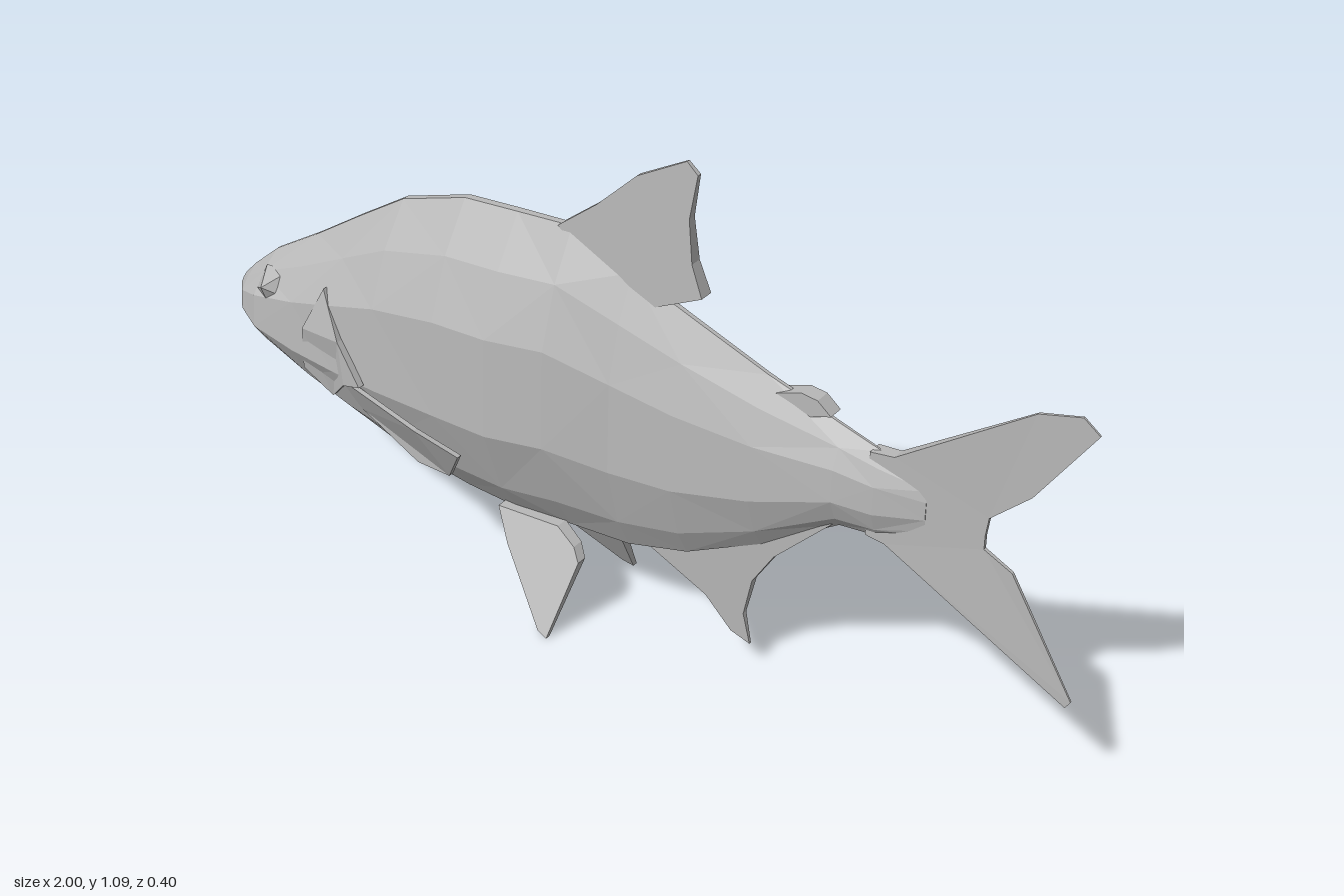
import * as THREE from 'three';

const skin = new THREE.MeshStandardMaterial({ color: 0xb8b8b8 });
skin.name = 'silver grey skin';

// Body stations: x, belly height, back height, half width
const STATIONS = [
  [-1, 0.45, 0.5, 0.02], [-0.965, 0.405, 0.535, 0.06], [-0.9, 0.365, 0.59, 0.095],
  [-0.78, 0.31, 0.662, 0.112], [-0.66, 0.26, 0.74, 0.122], [-0.54, 0.222, 0.815, 0.134],
  [-0.38, 0.197, 0.865, 0.14], [-0.25, 0.187, 0.873, 0.138], [-0.12, 0.197, 0.88, 0.12],
  [0.02, 0.2, 0.82, 0.092], [0.16, 0.235, 0.765, 0.082], [0.33, 0.32, 0.7, 0.068],
  [0.5, 0.43, 0.645, 0.05], [0.58, 0.435, 0.62, 0.036], [0.68, 0.47, 0.59, 0.012],
];
// Cross-section: share of height, share of half width
const PROFILE = [[0, 0.2], [0.12, 0.62], [0.34, 1], [0.66, 0.93], [0.85, 0.56], [1, 0.06]];

// Piecewise linear lookup in a table sorted by its first column
function lookup(table, key, col) {
  for (let i = 1; i < table.length; i++) {
    const a = table[i - 1], b = table[i];
    if (key <= b[0]) {
      return a[col] + (b[col] - a[col]) * Math.max(0, (key - a[0]) / (b[0] - a[0]));
    }
  }
  return table[table.length - 1][col];
}

// Half width of the body at a point of its side
function bodyZ(x, y) {
  const low = lookup(STATIONS, x, 1), high = lookup(STATIONS, x, 2);
  return lookup(STATIONS, x, 3) * lookup(PROFILE, (y - low) / (high - low), 1);
}

function flatMesh(geometry, name) {
  const g = geometry.index ? geometry.toNonIndexed() : geometry;
  g.computeVertexNormals();
  const mesh = new THREE.Mesh(g, skin);
  mesh.name = name;
  return mesh;
}

// Faceted body lofted through the stations, closed at both ends
function makeBody() {
  const ring = [
    ...PROFILE.map(([t, w]) => [t, w]),
    ...PROFILE.map(([t, w]) => [t, -w]).reverse(),
  ];
  const n = ring.length, pos = [], idx = [];
  for (const [x, low, high, half] of STATIONS) {
    for (const [t, w] of ring) pos.push(x, low + (high - low) * t, half * w);
  }
  for (let i = 0; i < STATIONS.length - 1; i++) {
    for (let j = 0; j < n; j++) {
      const a = i * n + j, b = i * n + (j + 1) % n, c = a + n, d = b + n;
      if ((i + j) % 2) idx.push(a, c, b, b, c, d);
      else idx.push(a, c, d, a, d, b);
    }
  }
  const last = (STATIONS.length - 1) * n;
  for (let j = 1; j < n - 1; j++) {
    idx.push(0, j, j + 1);
    idx.push(last, last + j + 1, last + j);
  }
  const g = new THREE.BufferGeometry();
  g.setAttribute('position', new THREE.Float32BufferAttribute(pos, 3));
  g.setIndex(idx);
  return flatMesh(g, 'body');
}

// Fin from a side outline; rules give its thickness and its sideways offset
function makeFin(name, outline, thickness, offset = () => 0) {
  const shape = new THREE.Shape(outline.map(([x, y]) => new THREE.Vector2(x, y)));
  const g = new THREE.ExtrudeGeometry(shape, { depth: 1, bevelEnabled: false });
  const p = g.attributes.position;
  for (let i = 0; i < p.count; i++) {
    const x = p.getX(i), y = p.getY(i);
    p.setZ(i, offset(x, y) + (p.getZ(i) - 0.5) * thickness(x, y));
  }
  return flatMesh(g, name);
}

export function createModel() {
  const fish = new THREE.Group();
  fish.name = 'fish';
  fish.add(makeBody());

  // Fins on the centre line
  fish.add(makeFin('upperTailFin', [
    [0.56, 0.53], [0.56, 0.62], [0.61, 0.625], [0.88, 0.81], [0.965, 0.832],
    [1, 0.805], [0.885, 0.635], [0.805, 0.56], [0.8, 0.52],
  ], (x) => 0.004 + 0.085 * Math.max(0, 0.8 - x) + 0.02 * (1 - x)));
  fish.add(makeFin('lowerTailFin', [
    [0.56, 0.53], [0.8, 0.52], [0.8, 0.49], [0.86, 0.46], [1, 0.225],
    [0.99, 0.208], [0.6, 0.428], [0.56, 0.435],
  ], (x) => 0.004 + 0.085 * Math.max(0, 0.8 - x) + 0.02 * (1 - x)));
  fish.add(makeFin('dorsalFin', [
    [-0.15, 0.875], [-0.06, 0.945], [0.03, 1.03], [0.14, 1.09], [0.165, 1.068],
    [0.15, 0.975], [0.16, 0.885], [0.185, 0.82], [0.08, 0.77], [-0.05, 0.8],
  ], (x, y) => 0.008 + 0.09 * Math.max(0, 1.09 - y)));
  fish.add(makeFin('adiposeFin', [
    [0.355, 0.675], [0.41, 0.695], [0.445, 0.69], [0.475, 0.665], [0.43, 0.65], [0.39, 0.665],
  ], () => 0.035));
  fish.add(makeFin('analFin', [
    [0.05, 0.215], [0.2, 0.14], [0.26, 0.075], [0.305, 0.06], [0.29, 0.13],
    [0.31, 0.22], [0.36, 0.3], [0.49, 0.432], [0.3, 0.36],
  ], (x, y) => 0.006 + 0.08 * Math.max(0, y - 0.06)));

  // Paired parts
  for (const [side, s] of [['left', 1], ['right', -1]]) {
    fish.add(makeFin(side + 'PelvicFin', [
      [-0.28, 0.2], [-0.235, 0.14], [-0.11, 0.012], [-0.085, 0.003], [-0.06, 0.155],
      [-0.08, 0.18], [-0.13, 0.205],
    ], (x, y) => 0.012 + 0.08 * y, (x, y) => s * (0.045 + 0.57 * (0.2 - y))));

    fish.add(makeFin(side + 'PectoralFin', [
      [-0.65, 0.4], [-0.6, 0.415], [-0.38, 0.42], [-0.285, 0.38], [-0.345, 0.29],
      [-0.44, 0.28], [-0.61, 0.335],
    ], () => 0.012,
    (x, y) => s * (Math.min(0.195, 0.115 + 0.33 * (x + 0.65)) - 0.5 * (0.42 - y))));

    // Gill cover, flaring away from the body towards its rear edge
    fish.add(makeFin(side + 'GillCover', [
      [-0.685, 0.605], [-0.63, 0.51], [-0.565, 0.43], [-0.62, 0.41],
      [-0.69, 0.34], [-0.76, 0.39], [-0.74, 0.5],
    ], () => 0.016, (x, y) => s * (bodyZ(x, y) + 0.06 * (x + 0.74))));

    // Eye, a small faceted bump
    const eyeShape = new THREE.ConeGeometry(0.05, 0.045, 5);
    eyeShape.rotateX(s * Math.PI / 2);
    const eye = flatMesh(eyeShape, side + 'Eye');
    eye.position.set(-0.86, 0.545, s * (bodyZ(-0.86, 0.545) + 0.008));
    eye.rotation.x = -s * 0.35;
    fish.add(eye);
  }
  return fish;
}
